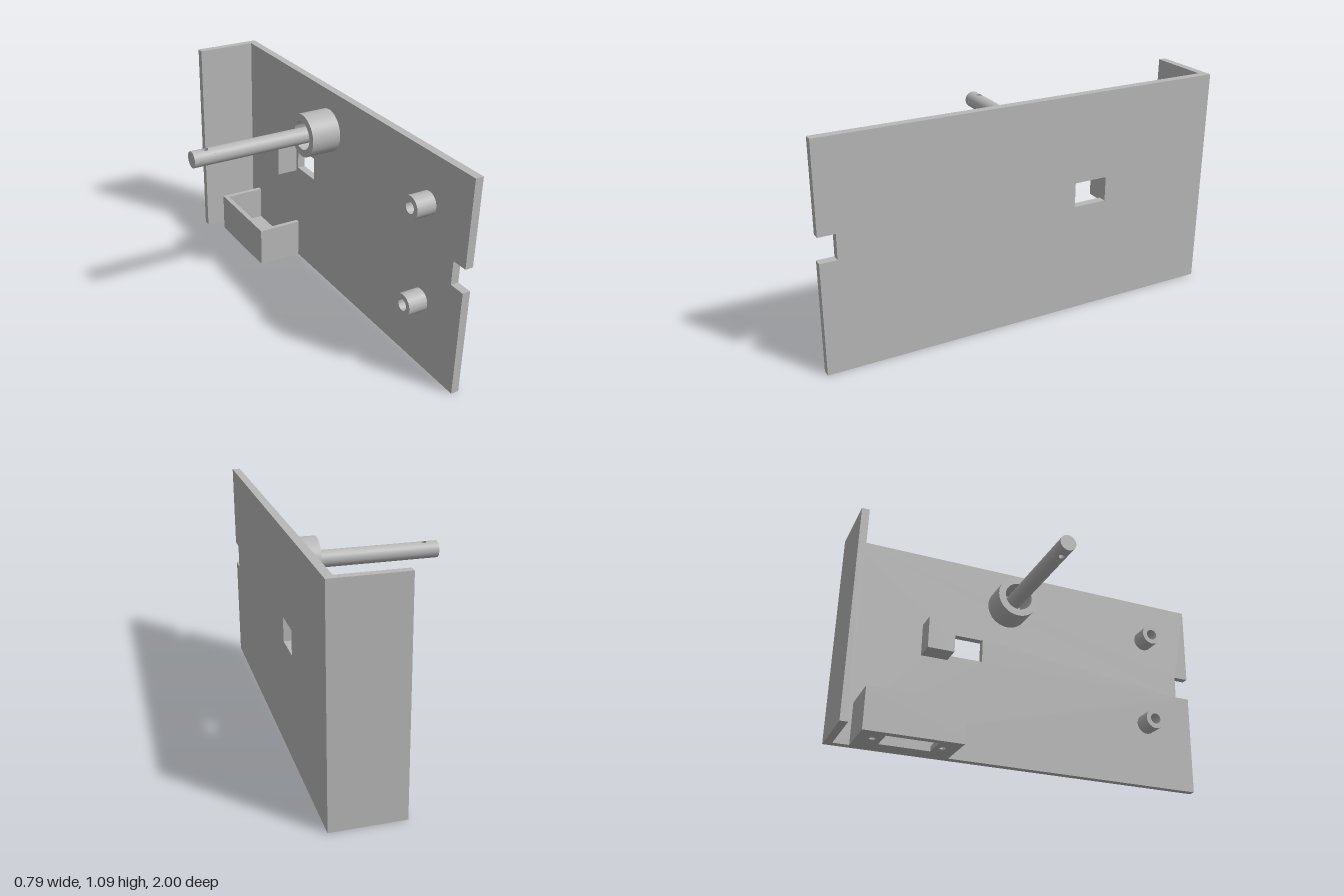
import * as THREE from 'three';
import { toCreasedNormals } from 'three/addons/utils/BufferGeometryUtils.js';

const INNER = 0.354, OUTER = 0.394; // the two faces of the main plate

const polygon = pts => new THREE.Shape(pts.map(p => new THREE.Vector2(...p)));
const rect = (a0, a1, b0, b1) => polygon([[a0, b0], [a1, b0], [a1, b1], [a0, b1]]);
const disc = (a, b, r) => new THREE.Shape().absarc(a, b, r, 0, Math.PI * 2);

function extrude(shape, holes, depth) {
  shape.holes.push(...holes);
  const g = new THREE.ExtrudeGeometry(shape, { depth, bevelEnabled: false, curveSegments: 32 });
  return g;
}
// Outline drawn in (z, y), filling x0..x1
const alongX = (shape, holes, x0, x1) =>
  toCreasedNormals(extrude(shape, holes, x1 - x0).rotateY(-Math.PI / 2).translate(x1, 0, 0), 0.6);
// Outline drawn in (x, z), filling y0..y1
const alongY = (shape, holes, y0, y1) =>
  toCreasedNormals(extrude(shape, holes, y1 - y0).rotateX(Math.PI / 2).translate(0, y1, 0), 0.6);

// Cylinder segment along x pierced vertically: a ring grid from hole edge to segment border
function piercedSegment(R, r, h) {
  const N = 48, M = 10, pos = [], nor = [], idx = [];
  for (const s of [1, -1]) {
    const base = pos.length / 3;
    for (let i = 0; i <= N; i++) {
      const a = (i / N) * Math.PI * 2, c = Math.cos(a), d = Math.sin(a);
      const k = 1 / Math.max(Math.abs(c), Math.abs(d));
      for (let j = 0; j <= M; j++) {
        const t = j / M;
        const x = THREE.MathUtils.lerp(r * c, h * k * c, t);
        const phi = THREE.MathUtils.lerp(Math.asin(r * d / R), Math.PI / 2 * k * d, t);
        pos.push(x, s * R * Math.cos(phi), R * Math.sin(phi));
        nor.push(0, s * Math.cos(phi), Math.sin(phi));
        if (i < N && j < M) {
          const p = base + i * (M + 1) + j, q = p + M + 1;
          if (s > 0) idx.push(p, q, p + 1, q, q + 1, p + 1);
          else idx.push(p, p + 1, q, q, p + 1, q + 1);
        }
      }
    }
  }
  // Wall of the cross hole
  const base = pos.length / 3;
  for (let i = 0; i <= N; i++) {
    const a = (i / N) * Math.PI * 2, c = Math.cos(a), d = Math.sin(a);
    const y = Math.sqrt(R * R - r * r * d * d);
    pos.push(r * c, y, r * d, r * c, -y, r * d);
    nor.push(-c, 0, -d, -c, 0, -d);
    const p = base + i * 2;
    if (i < N) idx.push(p, p + 1, p + 2, p + 2, p + 1, p + 3);
  }
  const g = new THREE.BufferGeometry();
  g.setAttribute('position', new THREE.Float32BufferAttribute(pos, 3));
  g.setAttribute('normal', new THREE.Float32BufferAttribute(nor, 3));
  g.setIndex(idx);
  return g;
}

export function createModel() {
  const model = new THREE.Group();
  model.name = 'mountingBracket';
  const grey = new THREE.MeshStandardMaterial({ color: 0xb8b8b8 });
  grey.name = 'plain grey';
  // The thin pierced segment shows both faces
  const add = (name, geometry, parent = model) => {
    const m = new THREE.Mesh(geometry, grey);
    m.name = name;
    parent.add(m);
    return m;
  };

  // Main plate with front-edge notch and window
  add('mainPlate', alongX(
    polygon([[-1, 0], [1, 0], [1, 0.54], [0.92, 0.54], [0.92, 0.66], [1, 0.66], [1, 1.085], [-1, 1.085]]),
    [rect(-0.415, -0.247, 0.54, 0.66)], INNER, OUTER));

  // Flange folded in at the back
  add('backFlange', alongY(rect(0.047, INNER, -1, -0.962), [], 0, 1.085));

  // Hollow bosses on the inner face
  const boss = (name, y, z, r, bore, x0) =>
    add(name, alongX(disc(z, y, r), [disc(z, y, bore)], x0, INNER));
  boss('shaftBoss', 0.876, -0.113, 0.11, 0.073, 0.2);
  boss('upperBoss', 0.849, 0.72, 0.055, 0.029, 0.255);
  boss('lowerBoss', 0.349, 0.72, 0.055, 0.029, 0.255);

  // Shaft with a vertical cross hole near its tip
  const shaft = new THREE.Group();
  shaft.name = 'shaft';
  shaft.position.set(0, 0.876, -0.113);
  model.add(shaft);
  const R = 0.041, h = 0.04, holeX = -0.325;
  const rod = (name, x0, x1) => add(name,
    new THREE.CylinderGeometry(R, R, x1 - x0, 48).rotateZ(Math.PI / 2).translate((x0 + x1) / 2, 0, 0), shaft);
  rod('shaftTip', -0.394, holeX - h);
  rod('shaftRod', holeX + h, INNER);
  add('shaftCrossHole', piercedSegment(R, 0.016, h), shaft).position.x = holeX;

  // Stop block beside the window
  add('stopBlock', alongY(rect(0.243, INNER, -0.572, -0.434), [], 0.515, 0.683));

  // Open-topped socket tray: pierced floor and three walls
  add('trayFloor', alongY(rect(0.117, INNER, -0.884, -0.402),
    [rect(0.155, 0.285, -0.766, -0.515), disc(0.22, -0.809, 0.016), disc(0.22, -0.474, 0.016)], 0, 0.026));
  add('trayWalls', alongY(polygon([
    [INNER, -0.884], [0.117, -0.884], [0.117, -0.402], [INNER, -0.402],
    [INNER, -0.425], [0.142, -0.425], [0.142, -0.86], [INNER, -0.86]]), [], 0.026, 0.21));

  return model;
}
